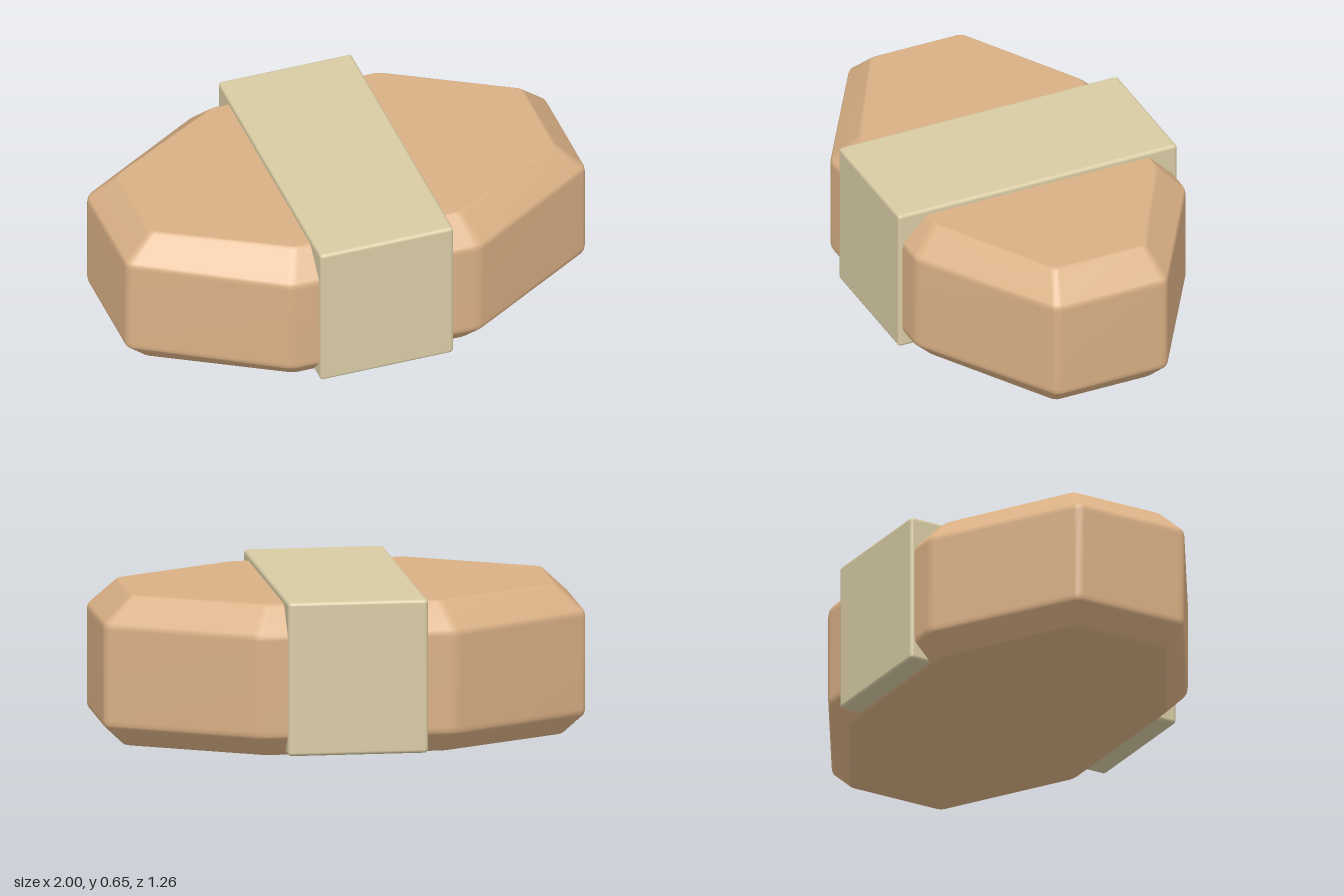
import * as THREE from 'three';
import { RoundedBoxGeometry } from 'three/addons/geometries/RoundedBoxGeometry.js';

// Eight-sided outline (x, z), counter-clockwise from above
const OUTLINE = [
  [1, 0.25], [1, -0.25], [0.41, -0.615], [-0.41, -0.615],
  [-1, -0.25], [-1, 0.25], [-0.41, 0.615], [0.41, 0.615],
].map(([x, z]) => new THREE.Vector2(x, z));

// Edge profile, bottom to top: [inset amount, height]
const PROFILE = [
  [0.82, 0], [0.75, 0.003], [0.68, 0.01], [0.07, 0.081], [0.02, 0.092], [0, 0.11],
  [0, 0.49], [0.02, 0.506], [0.07, 0.518], [0.92, 0.615], [0.99, 0.622], [1.06, 0.625],
];

// Replaces every corner by a short rounded bend
function roundCorners(corners, r, steps) {
  const points = [];
  corners.forEach((p, i) => {
    const toward = (q) => p.clone().add(q.clone().sub(p).setLength(r));
    const prev = corners[(i + corners.length - 1) % corners.length];
    const next = corners[(i + 1) % corners.length];
    const bend = new THREE.QuadraticBezierCurve(toward(prev), p, toward(next));
    points.push(...bend.getPoints(steps));
  });
  return points;
}

// Stacks the outline along the profile and closes both ends
function bunGeometry() {
  const ring = roundCorners(OUTLINE, 0.025, 3);
  const n = ring.length;
  const positions = [];
  const index = [];
  for (const [inset, y] of PROFILE) {
    for (const p of ring) positions.push(p.x * (1 - 0.12 * inset), y, p.y * (1 - 0.18 * inset));
  }
  const last = (PROFILE.length - 1) * n;
  const bottom = last + n;
  const top = bottom + 1;
  positions.push(0, 0, 0, 0, PROFILE[PROFILE.length - 1][1], 0);
  for (let i = 0; i < n; i++) {
    const j = (i + 1) % n;
    for (let k = 0; k < last; k += n) {
      index.push(k + i, k + j, k + n + j, k + i, k + n + j, k + n + i);
    }
    index.push(bottom, j, i, top, last + i, last + j);
  }
  const geometry = new THREE.BufferGeometry();
  geometry.setAttribute('position', new THREE.Float32BufferAttribute(positions, 3));
  geometry.setIndex(index);
  geometry.computeVertexNormals();
  return geometry;
}

export function createModel() {
  const tan = new THREE.MeshStandardMaterial({ name: 'warm tan', color: 0xdab085 });
  const cream = new THREE.MeshStandardMaterial({ name: 'pale cream', color: 0xd8cba4 });

  const group = new THREE.Group();
  group.name = 'wrappedBlock';

  // Bevelled body
  const body = new THREE.Mesh(bunGeometry(), tan);
  body.name = 'body';
  group.add(body);

  // Wrapping band around the middle
  const band = new THREE.Mesh(new RoundedBoxGeometry(0.58, 0.64, 1.265, 3, 0.015), cream);
  band.name = 'band';
  band.position.y = 0.33;
  group.add(band);

  return group;
}
